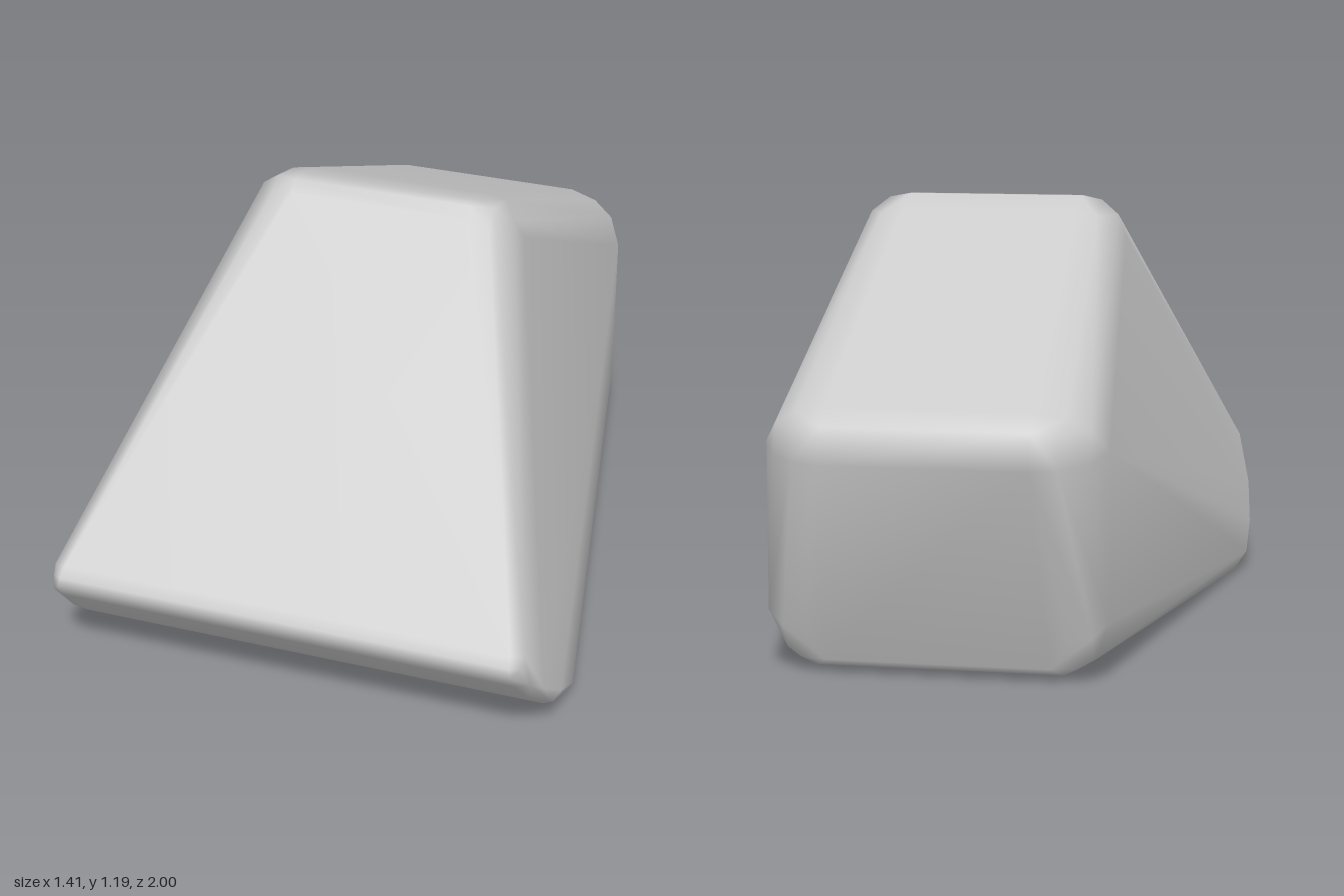
import * as THREE from 'three';
import { ConvexGeometry } from 'three/addons/geometries/ConvexGeometry.js';
import { mergeVertices } from 'three/addons/utils/BufferGeometryUtils.js';

// Rounded corners of the body's left half, as [x, y, z]
const corners = {
  peak: [
    [0.25, 1.19, 0.15], [0.25, 1.192, 0.11], [0.25, 1.155, 0.0], [0.25, 1.165, 0.18],
    [0.31, 1.18, 0.12], [0.31, 1.15, 0.17], [0.31, 1.145, 0.0],
    [0.36, 1.14, 0.1], [0.385, 1.08, 0.08],
  ],
  backTop: [
    [0.27, 0.73, -0.9], [0.27, 0.69, -0.955], [0.27, 0.6, -1],
    [0.35, 0.715, -0.88], [0.34, 0.68, -0.93], [0.34, 0.6, -0.97],
    [0.41, 0.68, -0.85], [0.41, 0.6, -0.88], [0.45, 0.62, -0.79],
  ],
  backBottom: [
    [0.27, 0.12, -0.82], [0.3, 0.04, -0.79], [0.33, 0.012, -0.74],
    [0.35, 0.12, -0.81], [0.37, 0.04, -0.77],
    [0.41, 0.13, -0.8], [0.41, 0.06, -0.75], [0.45, 0.17, -0.79],
  ],
  frontLip: [
    [0.62, 0.37, 0.975], [0.625, 0.345, 0.997], [0.63, 0.32, 1], [0.63, 0.28, 0.98],
    [0.65, 0.34, 0.98], [0.655, 0.36, 0.955], [0.67, 0.27, 0.95], [0.69, 0.22, 0.89],
  ],
  frontBottom: [
    [0.65, 0.17, 0.88], [0.66, 0.08, 0.78], [0.66, 0.015, 0.66], [0.67, 0, 0.58],
    [0.69, 0.1, 0.79], [0.69, 0.025, 0.64], [0.705, 0.12, 0.76], [0.705, 0.05, 0.63],
  ],
};

export function createModel() {
  const group = new THREE.Group();
  group.name = 'roundedWedge';

  // Mirror the corners and wrap them in one convex skin
  const points = [];
  for (const [x, y, z] of Object.values(corners).flat()) {
    points.push(new THREE.Vector3(x, y, z), new THREE.Vector3(-x, y, z));
  }
  const hull = new ConvexGeometry(points);

  // Share vertices so the bevels shade smoothly and large faces stay flat
  hull.deleteAttribute('normal');
  const geometry = mergeVertices(hull, 1e-4);
  geometry.computeVertexNormals();

  const body = new THREE.Mesh(geometry, new THREE.MeshStandardMaterial({ color: 0xcccccc }));
  body.name = 'body';
  group.add(body);
  return group;
}
